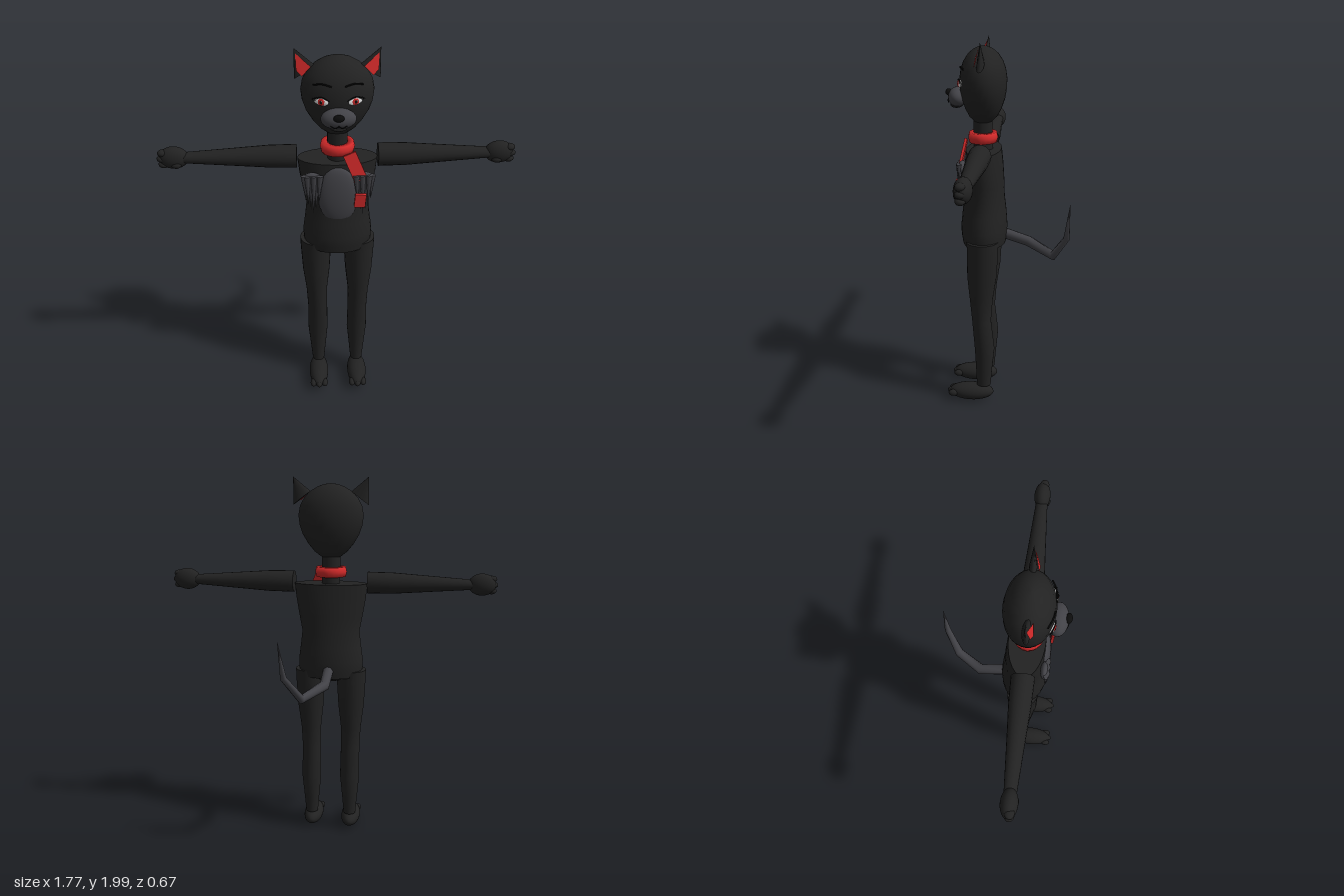
import * as THREE from 'three';

const mat = (name, color, side = THREE.FrontSide) => {
  const m = new THREE.MeshStandardMaterial({ color, side });
  m.name = name;
  return m;
};

// Skin over elliptical rings [y, cx, cz, rx, rz], listed from bottom to top.
function loft(rings, sides = 24) {
  const pos = [], idx = [];
  const addRing = ([y, cx, cz, rx, rz]) => {
    for (let i = 0; i < sides; i++) {
      const a = (i / sides) * Math.PI * 2;
      pos.push(cx + Math.sin(a) * rx, y, cz + Math.cos(a) * rz);
    }
  };
  rings.forEach(addRing);
  for (let r = 0; r < rings.length - 1; r++) {
    for (let i = 0; i < sides; i++) {
      const j = (i + 1) % sides, a = r * sides + i, b = r * sides + j;
      idx.push(a, b, b + sides, a, b + sides, a + sides);
    }
  }
  // Flat caps with their own corners
  [[rings[0], false], [rings[rings.length - 1], true]].forEach(([ring, top]) => {
    const s = pos.length / 3;
    addRing(ring);
    pos.push(ring[1], ring[0], ring[2]);
    for (let i = 0; i < sides; i++) {
      const j = (i + 1) % sides;
      if (top) idx.push(s + i, s + j, s + sides);
      else idx.push(s + j, s + i, s + sides);
    }
  });
  const g = new THREE.BufferGeometry();
  g.setAttribute('position', new THREE.Float32BufferAttribute(pos, 3));
  g.setIndex(idx);
  g.computeVertexNormals();
  return g;
}

export function createModel() {
  const root = new THREE.Group();
  const black = mat('black fur', 0x222222);
  const dark = mat('nose and line black', 0x0c0c0c, THREE.DoubleSide);
  const grey = mat('grey fur', 0x424247);
  const red = mat('red', 0xd22a2a, THREE.DoubleSide);
  const white = mat('eye white', 0xf0f0f0);

  const add = (name, geo, material, p = [0, 0, 0], s = [1, 1, 1], r = [0, 0, 0], parent = root) => {
    const m = new THREE.Mesh(geo, material);
    m.name = name;
    m.position.set(...p);
    m.scale.set(...s);
    m.rotation.set(...r);
    parent.add(m);
    return m;
  };
  const ball = new THREE.SphereGeometry(1, 24, 16);
  const smallBall = new THREE.SphereGeometry(1, 12, 8);
  const line = (name, pts, radius, material) => add(name, new THREE.TubeGeometry(
    new THREE.CatmullRomCurve3(pts.map(p => new THREE.Vector3(...p))), 10, radius, 5), material);

  // Egg-shaped head and neck
  add('head', loft([
    [1.573, 0, 0.125, 0.03, 0.025], [1.585, 0, 0.125, 0.056, 0.047], [1.61, 0, 0.125, 0.088, 0.072],
    [1.65, 0, 0.124, 0.121, 0.093], [1.7, 0, 0.123, 0.151, 0.11], [1.75, 0, 0.123, 0.168, 0.119],
    [1.8, 0, 0.123, 0.174, 0.121], [1.85, 0, 0.123, 0.165, 0.114], [1.89, 0, 0.123, 0.143, 0.1],
    [1.925, 0, 0.123, 0.109, 0.077], [1.948, 0, 0.123, 0.07, 0.05], [1.96, 0, 0.123, 0.035, 0.025],
    [1.964, 0, 0.123, 0.002, 0.002]], 32), black);
  add('neck', new THREE.CylinderGeometry(0.05, 0.05, 0.2, 20), black, [0, 1.52, 0.128]);

  // Torso with a narrow waist, and the hip piece between the legs
  add('torso', loft([
    [0.93, 0, 0.125, 0.168, 0.115], [0.97, 0, 0.125, 0.176, 0.121], [1.02, 0, 0.126, 0.178, 0.124],
    [1.1, 0, 0.124, 0.167, 0.117], [1.18, 0, 0.124, 0.158, 0.108], [1.26, 0, 0.124, 0.173, 0.106],
    [1.36, 0, 0.124, 0.19, 0.1], [1.44, 0, 0.124, 0.198, 0.092]], 28), black);
  add('hips', ball, black, [0, 0.945, 0.125], [0.11, 0.05, 0.1]);

  for (const s of [-1, 1]) {
    const side = s > 0 ? 'left' : 'right';

    // Tapered arm
    const arm = loft([[0.2, 0, 0, 0.058, 0.058], [0.34, 0, 0, 0.056, 0.055],
      [0.48, 0, 0, 0.046, 0.046], [0.62, 0, 0, 0.036, 0.038], [0.76, 0, 0, 0.026, 0.03]], 18);
    add(side + 'Arm', arm, black, [0, 1.446, 0.122], [1, 1, 1], [0, 0, -s * Math.PI / 2]);

    // Hand with short fingers and a thumb
    add(side + 'Hand', ball, black, [s * 0.803, 1.448, 0.122], [0.073, 0.058, 0.042]);
    [-1, 0, 1].forEach(k => add(side + 'Finger', smallBall, black,
      [s * (0.858 - Math.abs(k) * 0.006), 1.446 + k * 0.031, 0.128], [0.028, 0.018, 0.024]));
    add(side + 'Thumb', smallBall, black, [s * 0.79, 1.42, 0.15], [0.026, 0.018, 0.016]);

    // Leg
    add(side + 'Leg', loft([
      [0.1, s * 0.11, 0.127, 0.034, 0.039], [0.2, s * 0.11, 0.124, 0.043, 0.045],
      [0.33, s * 0.11, 0.12, 0.055, 0.055], [0.5, s * 0.11, 0.135, 0.053, 0.052],
      [0.62, s * 0.113, 0.135, 0.056, 0.062], [0.76, s * 0.114, 0.13, 0.072, 0.079],
      [0.9, s * 0.114, 0.125, 0.08, 0.083], [0.962, s * 0.114, 0.125, 0.082, 0.085]], 20), black);

    // Foot and toes
    add(side + 'Foot', ball, black, [s * 0.11, 0.054, 0.197], [0.054, 0.05, 0.125]);
    [-1, 0, 1].forEach(k => add(side + 'Toe', smallBall, black,
      [s * 0.11 + k * 0.032, 0.053, 0.305 - Math.abs(k) * 0.008], [0.018, 0.019, 0.028]));

    // Pointed ear shell with a red inner face
    const shell = new THREE.ConeGeometry(1, 1, 12, 4);
    const ear = new THREE.Group();
    ear.name = side + 'Ear';
    root.add(ear);
    const tip = [s * 0.2, 1.998, 0.115];
    const p = shell.attributes.position;
    for (let i = 0; i < p.count; i++) {
      const t = p.getY(i) + 0.5, x = p.getX(i), z = p.getZ(i);
      p.setXYZ(i, THREE.MathUtils.lerp(s * 0.155, tip[0], t) + x * 0.046,
        THREE.MathUtils.lerp(1.888, tip[1], t) - s * x * 0.035,
        THREE.MathUtils.lerp(0.125, tip[2], t) + z * (z > 0 ? 0.014 : 0.025));
    }
    shell.computeVertexNormals();
    add('earShell', shell, black, undefined, undefined, undefined, ear);
    const inner = new THREE.BufferGeometry();
    inner.setAttribute('position', new THREE.Float32BufferAttribute([
      s * 0.193, 1.975, 0.122, s * 0.191, 1.9, 0.14, s * 0.165, 1.875, 0.152, s * 0.122, 1.918, 0.147], 3));
    inner.setIndex(s > 0 ? [0, 2, 1, 0, 3, 2] : [0, 1, 2, 0, 2, 3]);
    inner.computeVertexNormals();
    add('earInside', inner, red, undefined, undefined, undefined, ear);

    // Eye: white, iris and pupil as thin layered discs
    const eye = new THREE.Group();
    eye.name = side + 'Eye';
    eye.position.set(s * 0.079, 1.785, 0.234);
    eye.rotation.y = s * 0.33;
    root.add(eye);
    add('eyeWhite', ball, white, [0, 0, 0], [0.036, 0.019, 0.009], [0, 0, s * 0.12], eye);
    add('iris', ball, red, [-s * 0.002, 0, 0.006], [0.017, 0.017, 0.005], undefined, eye);
    add('pupil', ball, dark, [-s * 0.002, 0, 0.01], [0.007, 0.008, 0.003], undefined, eye);
    add('glint', smallBall, white, [0.005, 0.006, 0.012], [0.003, 0.003, 0.002], undefined, eye);
    for (let i = 0; i < 4; i++) {
      add('lash', new THREE.ConeGeometry(0.002, 0.024, 4), dark,
        [s * (0.018 + i * 0.007), 0.021 - i * 0.004, 0.008], undefined, [0.4, 0, -s * (0.4 + i * 0.25)], eye);
    }
    line(side + 'UpperLid', [[s * 0.042, 1.788, 0.243], [s * 0.078, 1.808, 0.24], [s * 0.118, 1.793, 0.222]], 0.003, dark);
    line(side + 'Brow', [[s * 0.03, 1.857, 0.236], [s * 0.075, 1.868, 0.228], [s * 0.115, 1.858, 0.21]], 0.004, dark);

    // Hanging chest tufts
    for (let i = 0; i < 6; i++) {
      const len = [0.14, 0.17, 0.2, 0.22, 0.2, 0.16][i];
      add(side + 'ChestTuft', new THREE.ConeGeometry(0.017, len, 8), grey,
        [s * (0.163 - i * 0.014), 1.392 - len / 2, 0.232 + (i % 2) * 0.006],
        [1, 1, 0.7], [Math.PI, 0, s * (0.04 - i * 0.02)]);
    }
    add(side + 'TuftRoot', ball, grey, [s * 0.128, 1.37, 0.222], [0.045, 0.034, 0.02]);

    // Mouth corner
    line(side + 'Mouth', [[0, 1.694, 0.307], [s * 0.016, 1.682, 0.303], [s * 0.038, 1.69, 0.296]], 0.0025, dark);
  }

  // Muzzle and nose
  add('muzzle', ball, grey, [0, 1.708, 0.255], [0.084, 0.05, 0.05]);
  add('nose', ball, dark, [0, 1.731, 0.302], [0.026, 0.017, 0.017]);
  add('lowerLip', ball, black, [0, 1.667, 0.262], [0.042, 0.016, 0.032]);

  // Grey chest patch
  add('chestPatch', ball, grey, [0, 1.266, 0.215], [0.1, 0.161, 0.034]);

  // Collar ring and the hanging scarf ends
  add('collar', new THREE.LatheGeometry([[0.05, -0.026], [0.08, -0.026], [0.086, 0], [0.08, 0.026], [0.05, 0.026], [0.05, -0.026]]
    .map(q => new THREE.Vector2(...q)), 20), red, [0, 1.502, 0.128], [1, 1, 0.9]);
  add('scarfEnd', new THREE.BoxGeometry(0.065, 0.145, 0.014), red, [0.083, 1.432, 0.222], undefined, [-0.2, 0, 0.4]);
  add('scarfTip', new THREE.BoxGeometry(0.055, 0.075, 0.014), red, [0.108, 1.257, 0.25], undefined, [0.05, 0, -0.08]);

  // Bent tail narrowing to a point
  const stops = [[0, 0.975, 0.02, 0.03], [0, 0.93, -0.115, 0.029], [0.1, 0.89, -0.25, 0.025],
    [0.178, 1.015, -0.318, 0.017], [0.203, 1.205, -0.333, 0.001]];
  const path = new THREE.CurvePath();
  const pts = stops.map(q => new THREE.Vector3(q[0], q[1], q[2]));
  const n = 8, tp = [], ti = [];
  pts.forEach((c, k) => {
    const dir = pts[Math.min(k + 1, 4)].clone().sub(pts[Math.max(k - 1, 0)]).normalize();
    const u = new THREE.Vector3(1, 0, 0.5).addScaledVector(dir, -dir.dot(new THREE.Vector3(1, 0, 0.5))).normalize();
    const v = dir.clone().cross(u);
    for (let i = 0; i < n; i++) {
      const a = (i / n) * Math.PI * 2;
      const q = c.clone().addScaledVector(u, Math.cos(a) * stops[k][3]).addScaledVector(v, Math.sin(a) * stops[k][3]);
      tp.push(q.x, q.y, q.z);
      if (k < 4) {
        const A = k * n + i, B = k * n + (i + 1) % n;
        ti.push(A, B, B + n, A, B + n, A + n);
      }
    }
  });
  const tail = new THREE.BufferGeometry();
  tail.setAttribute('position', new THREE.Float32BufferAttribute(tp, 3));
  tail.setIndex(ti);
  tail.computeVertexNormals();
  add('tail', tail, grey);

  return root;
}
